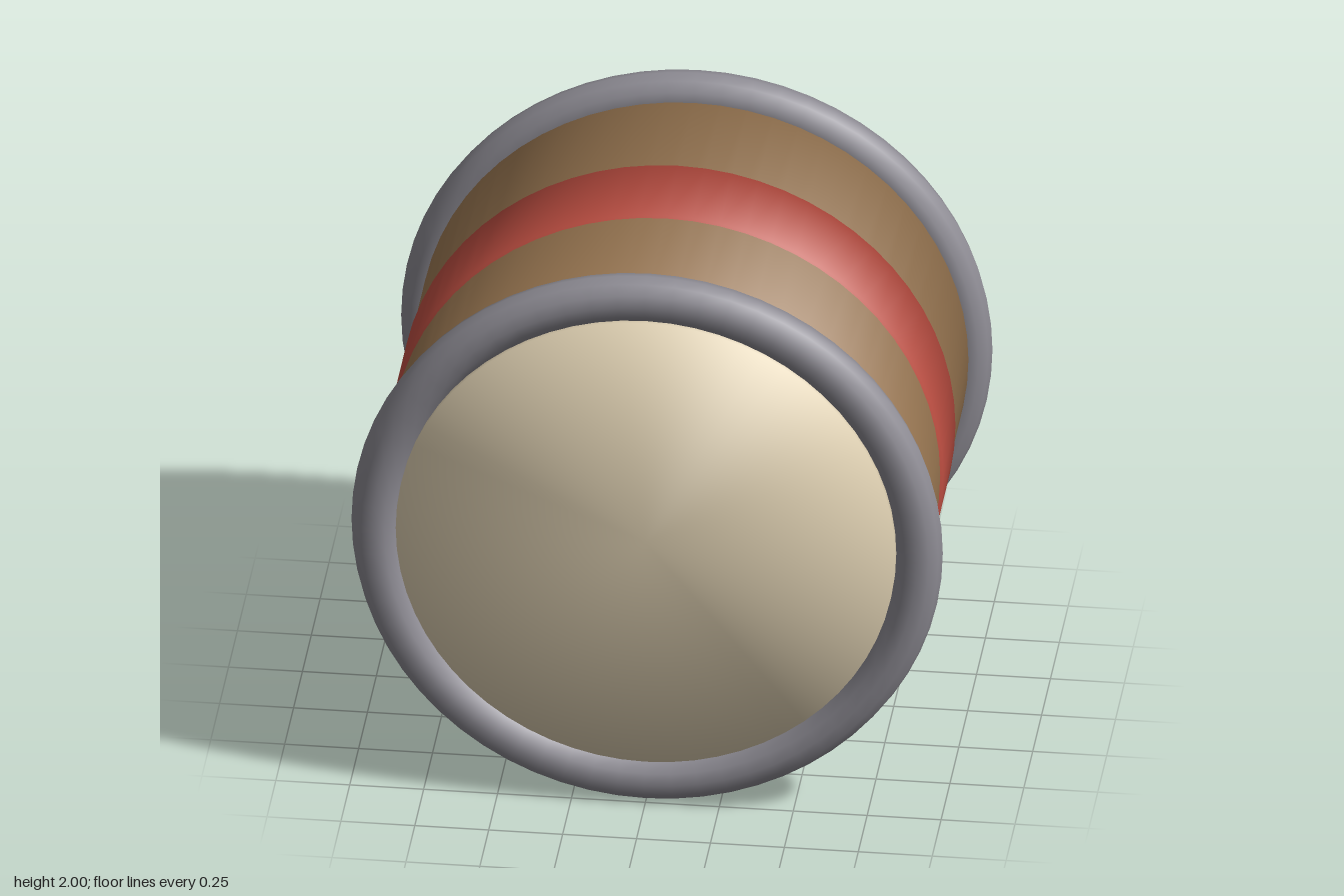
import * as THREE from 'three';

// Closed cylinder along z whose normals blend across the edges
function softDrum(radius, depth) {
  const g = new THREE.CylinderGeometry(radius, radius, depth, 64);
  const p = g.attributes.position, n = g.attributes.normal;
  const v = new THREE.Vector3();
  for (let i = 0; i < p.count; i++) {
    v.fromBufferAttribute(p, i);
    v.set(v.x / radius, Math.sign(v.y), v.z / radius).normalize();
    n.setXYZ(i, v.x, v.y, v.z);
  }
  return g.rotateX(Math.PI / 2);
}

function addPart(group, name, geometry, color, z = 0) {
  const mesh = new THREE.Mesh(geometry, new THREE.MeshStandardMaterial({ color }));
  mesh.name = name;
  mesh.position.set(0, 1, z);
  group.add(mesh);
}

export function createModel() {
  const drum = new THREE.Group();
  drum.name = 'drum';

  // Wooden shell and the painted band around its middle
  addPart(drum, 'shell', softDrum(0.928, 1.4), 0xa07c55);
  addPart(drum, 'band', softDrum(0.938, 0.345), 0xc25043);

  // Raised skin and metal hoop at each end
  for (const [side, s] of [['front', 1], ['back', -1]]) {
    addPart(drum, side + 'Skin', softDrum(0.845, 0.06), 0xe4d5b6, s * 0.717);
    addPart(drum, side + 'Hoop', new THREE.TorusGeometry(0.92, 0.08, 12, 64), 0x8f8d95, s * 0.7);
  }
  return drum;
}
